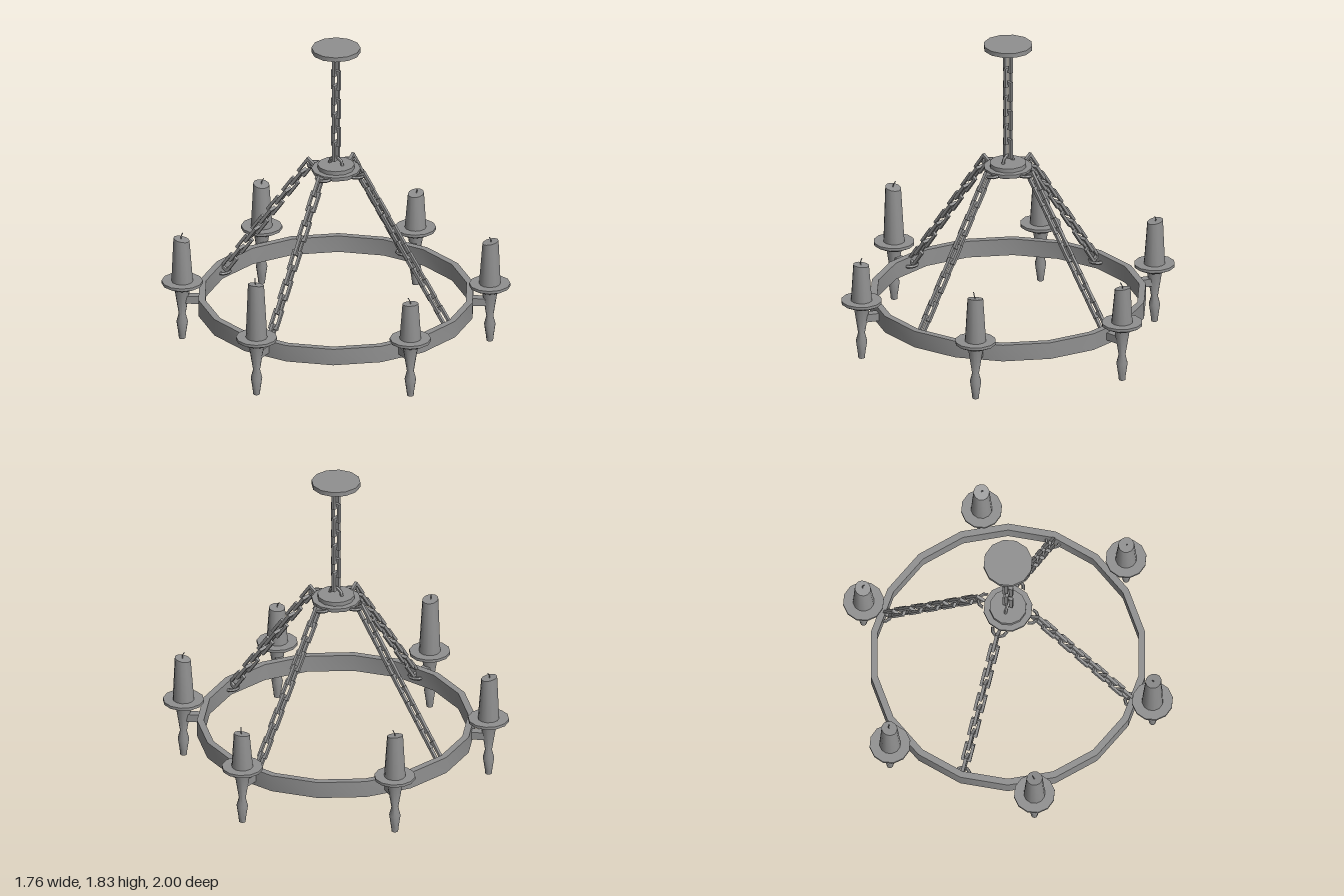
import * as THREE from 'three';
import { toCreasedNormals } from 'three/addons/utils/BufferGeometryUtils.js';

const metal = new THREE.MeshStandardMaterial({ color: 0x909090 });

// smooth round sides, sharp edges
const crease = (geometry) => toCreasedNormals(geometry, 0.7);

function add(parent, name, geometry, x = 0, y = 0, z = 0) {
  const mesh = new THREE.Mesh(geometry, metal);
  mesh.name = name;
  mesh.position.set(x, y, z);
  parent.add(mesh);
  return mesh;
}

function group(parent, name) {
  const g = new THREE.Group();
  g.name = name;
  parent.add(g);
  return g;
}

// profile points run from bottom to top on the outside
function lathe(points, sides) {
  return new THREE.LatheGeometry(points.map(([r, y]) => new THREE.Vector2(r, y)), sides, Math.PI / 2);
}

function rectangle(path, w, h) {
  path.moveTo(-w / 2, -h / 2);
  path.lineTo(w / 2, -h / 2);
  path.lineTo(w / 2, h / 2);
  path.lineTo(-w / 2, h / 2);
  path.closePath();
  return path;
}

// rectangular chain link, long side along y
function linkGeometry() {
  const shape = rectangle(new THREE.Shape(), 0.059, 0.12);
  shape.holes.push(rectangle(new THREE.Path(), 0.027, 0.088));
  const g = new THREE.ExtrudeGeometry(shape, { depth: 0.018, bevelEnabled: false });
  return g.translate(0, 0, -0.009);
}

const LINK = linkGeometry();
const PITCH = 0.0888;
const EYE = crease(new THREE.TorusGeometry(0.042, 0.01, 6, 5, Math.PI));

// links hang down local -y, each turned a quarter from the last
function chain(parent, name, count, firstTurned) {
  const g = group(parent, name);
  for (let i = 0; i < count; i++) {
    const link = add(g, 'chainLink', LINK, 0, -i * PITCH, 0);
    if ((i % 2 === 0) === firstTurned) link.rotation.y = Math.PI / 2;
  }
  return g;
}

// tapered candle with a sloping top and a slight lean
function candleGeometry(height, slope, lean) {
  const g = lathe([[0.062, 0], [0.046, height], [0, height]], 12);
  const p = g.attributes.position;
  for (let i = 0; i < p.count; i++) {
    const t = p.getY(i) / height;
    p.setY(i, p.getY(i) + slope * p.getX(i) * t);
    p.setX(i, p.getX(i) + lean * t);
  }
  return crease(g);
}

// pointed holder and drip dish in one turned profile
const HOLDER = crease(lathe([
  [0, 0], [0.019, 0], [0.022, 0.03], [0.033, 0.105], [0.02, 0.155],
  [0.045, 0.31], [0.058, 0.312], [0.118, 0.343], [0.118, 0.36], [0, 0.358],
], 12));

const WICK = new THREE.TubeGeometry(new THREE.CatmullRomCurve3([
  new THREE.Vector3(0, -0.01, 0),
  new THREE.Vector3(0.003, 0.012, 0.004),
  new THREE.Vector3(-0.008, 0.036, 0.012),
]), 5, 0.003, 5);

function candleArm(parent, angle, height, slope, lean) {
  const arm = group(parent, 'candleArm');
  arm.rotation.y = angle;
  add(arm, 'bracket', new THREE.BoxGeometry(0.1, 0.046, 0.048), 0.827, 0.248, 0);
  add(arm, 'holder', HOLDER, 0.88, 0, 0);
  add(arm, 'candle', candleGeometry(height, slope, lean), 0.88, 0.355, 0);
  add(arm, 'wick', WICK, 0.88 + lean, 0.355 + height, 0);
}

export function createModel() {
  const model = new THREE.Group();
  model.name = 'chandelier';

  // large ring
  add(model, 'ring', crease(lathe([
    [0.796, 0.2], [0.796, 0.3], [0.757, 0.3], [0.757, 0.2], [0.796, 0.2],
  ], 18)));

  // ceiling plate and its eye
  add(model, 'ceilingPlate', crease(new THREE.CylinderGeometry(0.141, 0.141, 0.027, 12)), 0, 1.82, 0);
  add(model, 'ceilingEye', EYE, 0, 1.804, 0).rotation.z = Math.PI;

  // central hub and its eye
  add(model, 'hub', crease(lathe([
    [0, 1.053], [0.137, 1.053], [0.141, 1.06], [0.141, 1.077],
    [0.106, 1.077], [0.106, 1.101], [0, 1.101],
  ], 12)));
  add(model, 'hubEye', EYE, 0, 1.103, 0);

  // vertical chain between plate and hub
  chain(model, 'hangingChain', 7, true).position.y = 1.72;

  // four sloping chains, with an eye at each end
  for (let i = 0; i < 4; i++) {
    const side = group(model, 'chainSide');
    side.rotation.y = i * Math.PI / 2;
    const sloping = chain(side, 'slopingChain', 11, false);
    sloping.position.set(0.2, 1.035, 0);
    sloping.rotation.z = 0.618;
    add(side, 'hubSideEye', EYE, 0.137, 1.065, 0).rotation.set(Math.PI / 2, 0, -Math.PI / 2);
    add(side, 'ringEye', EYE, 0.757, 0.25, 0).rotation.set(Math.PI / 2, 0, Math.PI / 2);
  }

  // six candles: height, top slope, lean; starting at the front left
  const candles = [
    [0.222, 0.1, 0.002], [0.265, 0.2, 0.004], [0.215, 0.2, 0.005],
    [0.265, 0.2, 0.004], [0.265, 0.2, 0.004], [0.336, 0.2, 0.006],
  ];
  // angle i = 0 is +x, +z; the order then runs towards the back
  candles.forEach(([h, slope, lean], i) => {
    candleArm(model, -Math.PI / 6 + i * Math.PI / 3, h, slope, lean);
  });

  return model;
}
